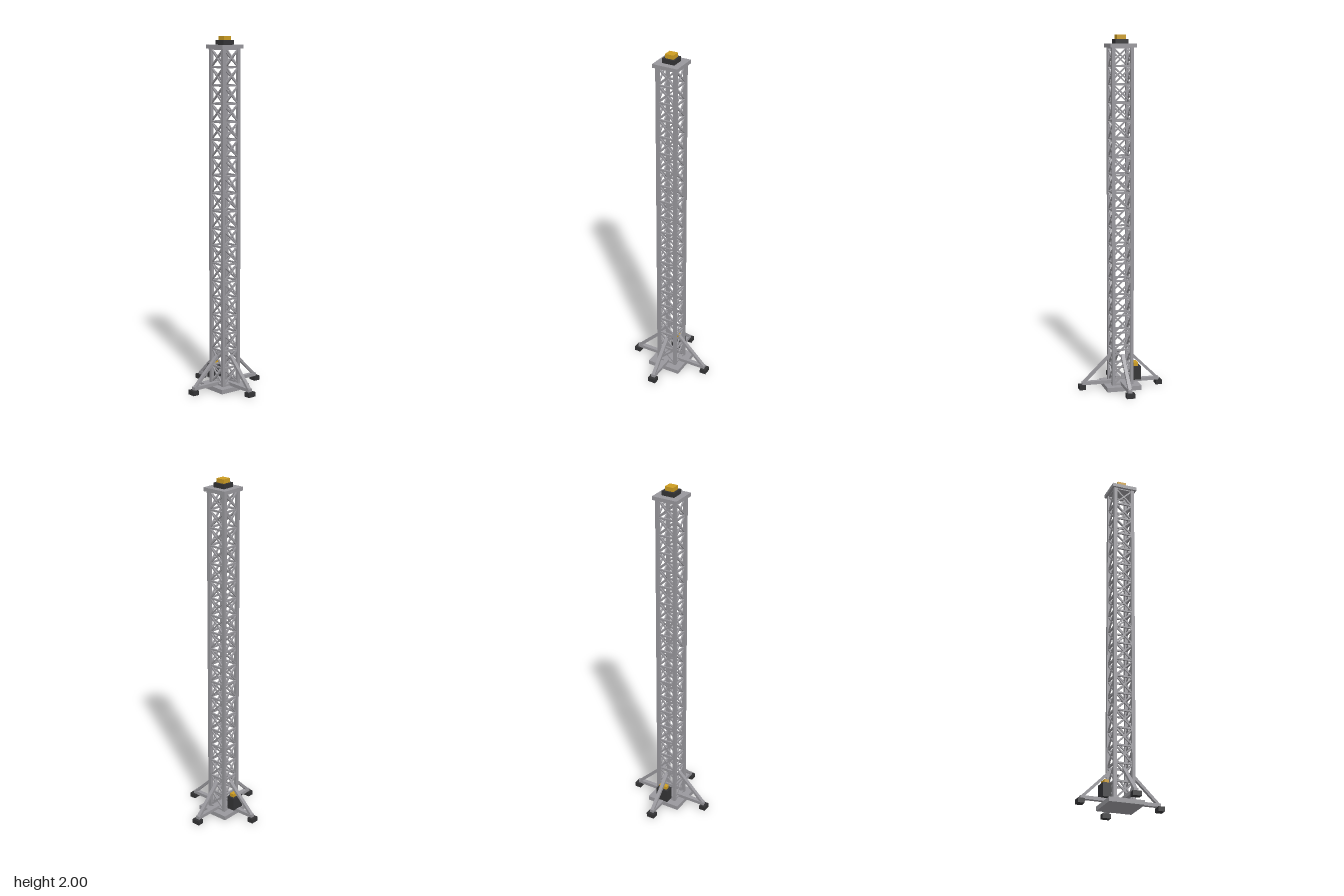
import * as THREE from 'three';

export function createModel() {
  const model = new THREE.Group();
  model.name = 'latticeMast';
  const mat = (name, color) => {
    const m = new THREE.MeshStandardMaterial({ color });
    m.name = name;
    return m;
  };
  const steel = mat('steel grey', 0x98979c);
  const dark = mat('dark rubber', 0x333335);
  const gold = mat('safety yellow', 0xcc9c22);

  // Box given by its size and the height of its underside
  const box = (parent, name, material, w, h, d, x, y, z) => {
    const mesh = new THREE.Mesh(new THREE.BoxGeometry(w, h, d), material);
    mesh.name = name;
    mesh.position.set(x, y + h / 2, z);
    parent.add(mesh);
    return mesh;
  };
  // Square bar between two points in an xy plane at depth z
  const bar = (parent, name, x1, y1, x2, y2, z, thick, depth) => {
    const length = Math.hypot(x2 - x1, y2 - y1);
    const mesh = new THREE.Mesh(new THREE.BoxGeometry(length, thick, depth), steel);
    mesh.name = name;
    mesh.position.set((x1 + x2) / 2, (y1 + y2) / 2, z);
    mesh.rotation.z = Math.atan2(y2 - y1, x2 - x1);
    parent.add(mesh);
  };

  const R = 0.053, bottom = 0.03, bay = 0.1, bays = 19;

  // Base and head
  box(model, 'basePlate', steel, 0.2, 0.025, 0.2, 0, 0, 0);
  box(model, 'topPlate', steel, 0.148, 0.021, 0.148, 0, 1.931, 0);
  box(model, 'headBlock', dark, 0.074, 0.025, 0.074, 0, 1.952, 0);
  box(model, 'headCap', gold, 0.05, 0.023, 0.05, 0, 1.977, 0);

  // Corner legs
  for (const x of [-R, R])
    for (const z of [-R, R]) box(model, 'cornerLeg', steel, 0.019, 1.91, 0.019, x, 0.023, z);

  for (let side = 0; side < 4; side++) {
    // Lattice face: a rung at every level and crossed diagonals in every bay
    const face = new THREE.Group();
    face.name = 'latticeFace';
    face.rotation.y = side * Math.PI / 2;
    for (let i = 0; i <= bays; i++) {
      const y = bottom + i * bay;
      bar(face, 'rung', -R, y, R, y, R, 0.01, 0.01);
      if (i === bays) break;
      bar(face, 'diagonal', -R, y, R, y + bay, R, 0.008, 0.008);
      bar(face, 'diagonal', R, y, -R, y + bay, R, 0.008, 0.008);
    }
    model.add(face);

    // Outrigger: beam, sloping brace and foot
    const outrigger = new THREE.Group();
    outrigger.name = 'outrigger';
    outrigger.rotation.y = side * Math.PI / 2;
    box(outrigger, 'outriggerBeam', steel, 0.177, 0.019, 0.024, 0.1385, 0.025, 0);
    bar(outrigger, 'outriggerBrace', 0.052, 0.2, 0.215, 0.04, 0, 0.015, 0.02);
    box(outrigger, 'outriggerFoot', dark, 0.037, 0.026, 0.048, 0.2255, 0, 0);
    model.add(outrigger);
  }

  // Drive unit behind the mast
  box(model, 'driveUnit', dark, 0.074, 0.078, 0.049, 0, 0.042, -0.088);
  box(model, 'driveCap', gold, 0.05, 0.02, 0.026, 0, 0.12, -0.087);

  return model;
}
